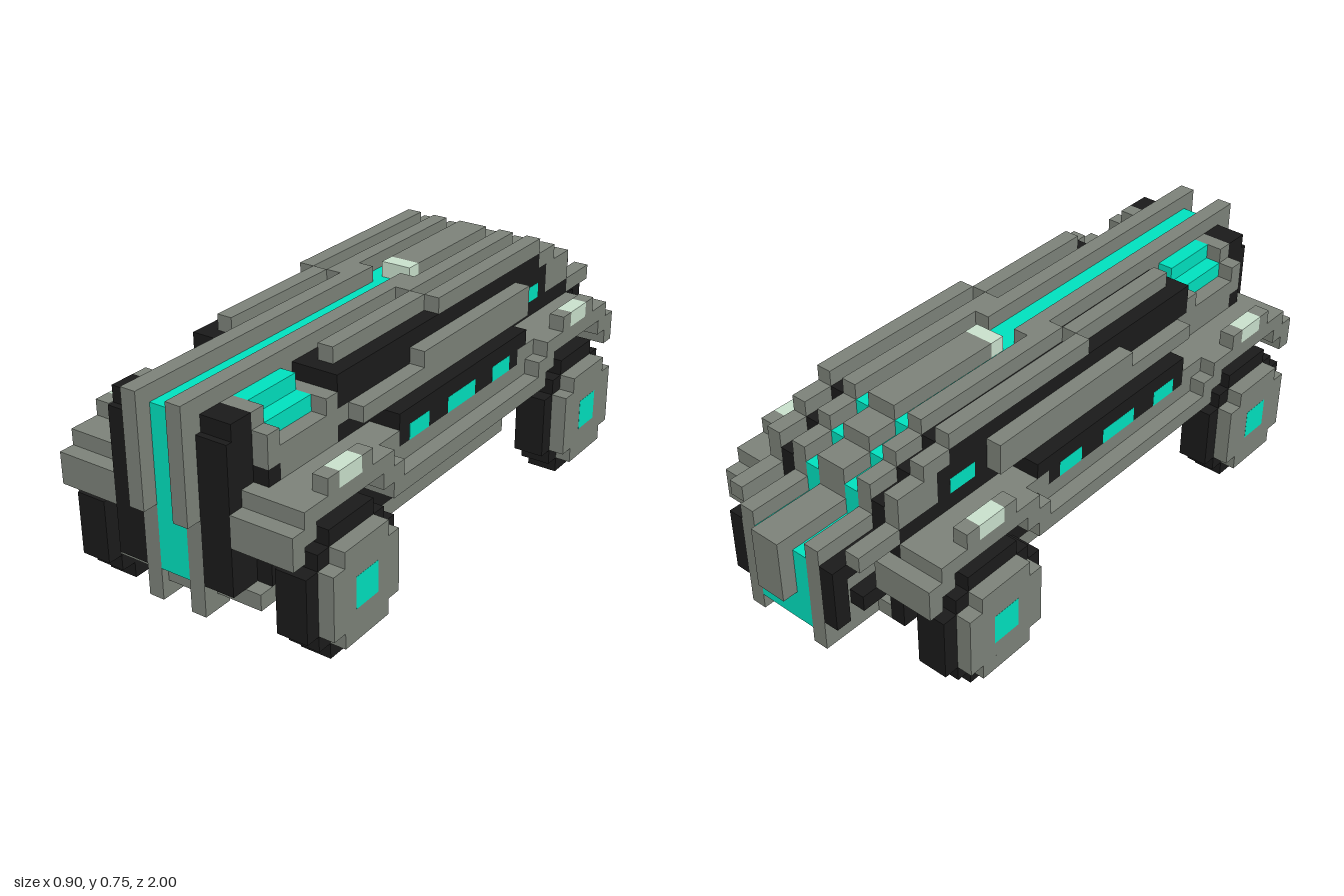
import * as THREE from 'three';
import { mergeGeometries } from 'three/addons/utils/BufferGeometryUtils.js';

const U = 0.05; // one block

export function createModel() {
  const model = new THREE.Group();
  model.name = 'armouredVehicle';
  const mat = (name, color) => {
    const m = new THREE.MeshStandardMaterial({ color });
    m.name = name;
    return m;
  };
  const gray = mat('armourGray', 0x7d837a);
  const dark = mat('bodyBlack', 0x1b1b1b);
  const teal = mat('glowTeal', 0x00e2c0);
  const pale = mat('lampPale', 0xcbe2ce);

  // Boxes are [x0, x1, y0, y1, z0, z1] in block units
  const box = ([x0, x1, y0, y1, z0, z1]) =>
    new THREE.BoxGeometry((x1 - x0) * U, (y1 - y0) * U, (z1 - z0) * U)
      .translate((x0 + x1) * U / 2, (y0 + y1) * U / 2, (z0 + z1) * U / 2);
  const part = (name, material, boxes) => {
    const mesh = new THREE.Mesh(mergeGeometries(boxes.map(box)), material);
    mesh.name = name;
    model.add(mesh);
  };
  const pair = (name, material, boxes) => {
    part(name + 'Left', material, boxes);
    part(name + 'Right', material, boxes.map(([a, b, ...r]) => [-b, -a, ...r]));
  };

  // Centre spine: glowing strip, roof ridge and lamp
  part('frontStrip', teal, [[-1, 1, 13, 14, -3, 18], [-1, 1, 4, 14, 18, 19]]);
  part('roofLamp', pale, [[-1, 1, 14, 15, -3, -2]]);
  part('roofRidge', gray, [
    [-1, 1, 13, 15, -11, -3], [-1, 1, 12, 14, -13, -11],
    [-1, 1, 11, 13, -15, -13], [-1, 1, 7, 11, -20, -15],
  ]);
  pair('frontRail', gray, [[1, 2, 13, 15, -1, 17], [1, 2, 2, 15, 17, 19], [1, 2, 8, 15, 19, 20]]);
  part('frontCrossbar', gray, [[-1, 1, 3, 4, 17, 18.5]]);
  pair('frontBumper', gray, [[2, 5, 3, 4, 17, 18]]);

  // Roof panels and stepped tail strips
  pair('roofCore', dark, [[2, 5, 13, 14, -11, 11]]);
  pair('roofBars', gray, [
    [2, 3, 14, 15, -11, 1], [4, 5, 14, 15, -11, 1], [3, 4, 14, 15, 1, 10],
    [2, 3, 12, 14, -13, -11], [4, 5, 13, 14, -13, -11], [4, 5, 11, 13, -13, -12],
    [2, 3, 11, 13, -15, -13], [4, 5, 11, 13, -15, -13],
    [2, 3, 4, 11, -19, -15], [4, 5, 10, 11, -18, -15],
  ]);
  pair('tailStrip', teal, [
    [1, 2, 13, 14, -11, -1], [1, 2, 12, 13, -13, -11],
    [1, 2, 10, 12, -15, -13], [1, 2, 9, 10, -18, -15], [1, 2, 5, 10, -19, -18],
  ]);
  part('tailGlow', teal, [[-1, 1, 5, 7, -19, -18]]);
  part('tailCrossbar', gray, [[-4, 4, 4, 5, -15, -14]]);
  pair('tailDarkStrip', dark, [
    [3, 4, 11, 13, -13, -11], [3, 4, 10, 12, -15, -13],
    [3, 4, 9, 10, -19, -15], [3, 4, 6, 9, -19, -18], [3, 4, 6, 7, -17, -15],
  ]);

  // Nose and windscreen corners
  pair('nose', dark, [[2, 4, 4, 13, 17, 19], [2, 4, 13, 14, 17, 18.6], [4, 5, 10, 11, 16, 17]]);
  pair('noseFrame', gray, [
    [2, 4, 10, 14, 16, 17], [4, 5, 11, 13, 16, 17],
    [2, 5, 10, 12, 12, 16], [2, 5, 10, 13, 11, 12],
  ]);
  pair('windscreen', teal, [[2, 3, 12, 14, 12, 16], [3, 4, 12, 13, 12, 16]]);

  // Hollow cabin: lower panels, arch walls, window band, shoulder and running beam
  pair('sideWall', dark, [
    [4, 5, 4, 7, -6, 8], [4, 5, 4, 11, 8, 11], [4, 5, 4, 10, 11, 17],
    [4, 5, 4, 11, -15, -6], [4, 5, 11, 13, -12, -8], [4, 5, 12, 13, -8, 11],
  ]);
  pair('windowBand', dark, [[6, 7, 9, 10, -5, 8], [5, 7, 10, 11, -6, 8]]);
  const windows = [[5, 7], [0, 3], [-4, -2]];
  pair('sideWindows', teal, windows.map(([a, b]) => [5.99, 7.01, 9, 10, a, b]));
  pair('rearWindow', teal, [[5, 5.01, 11, 12, -11, -9]]);
  pair('shoulder', gray, [[4, 5, 11, 12, -8, 11], [5, 6, 11, 12, -8, 10], [5, 6, 12, 13, -8, 4]]);
  pair('sideBeam', gray, [
    [5, 8, 7, 8, -6, 9], [6, 7, 8, 9, -6, 9],
    [5, 7, 9, 10, 8, 10], [5, 7, 9, 10, -7, -5],
  ]);
  pair('beamUnderglow', teal, [[6, 7, 6.98, 7, -2, 8]]);
  pair('sill', gray, [[4, 5, 3, 4, -7, 17]]);

  // Wheels and fenders, front then rear
  for (const [name, c, end] of [['front', 14, 1], ['rear', -11, -1]]) {
    const span = (a, b) => end > 0 ? [c + a, c + b] : [c - b, c - a];
    pair(name + 'Fender', gray, [
      [4.5, 8, 9, 10, ...span(-4, 4)],
      [5, 8, 8, 9, ...span(-5, -3)], [5, 8, 8, 9, ...span(3, 5)],
      [5, 8, 7, 8, ...span(-5, -4)], [5, 8, 7, 8, ...span(4, 5)],
      [7, 8, 10, 11, ...span(-2, -1)], [7, 8, 10, 11, ...span(1, 2)],
      [4, 8, 7, 9, ...(end > 0 ? [18, 19] : [-16, -15])],
    ]);
    // Short cheek closing the front fender against the nose
    if (end > 0) pair('fenderCheek', gray, [[4, 5, 7, 10, 17, 18]]);
    pair(name + 'FenderLamp', pale, [[7, 8, 10, 11, c - 1, c + 1]]);
    // Tyre: stepped ring, open on its inner side around the axle
    const tyre = [[6, 8, 0, 1, c - 2, c + 2], [6, 8, 7, 8, c - 2, c + 2]];
    for (const s of [-1, 1]) {
      for (const [y0, y1, a, b] of [[1, 2, 1, 3], [2, 6, 3, 4], [6, 7, 1, 3]])
        tyre.push([6, 8, y0, y1, c + Math.min(s * a, s * b), c + Math.max(s * a, s * b)]);
    }
    pair(name + 'Tyre', dark, tyre);
    pair(name + 'Axle', dark, [[5, 7, 3, 6, c - 1, c + 1]]);
    pair(name + 'Hub', gray, [[1, 2, 2], [2, 6, 3], [6, 7, 2]].map(([y0, y1, w]) => [8, 9, y0, y1, c - w, c + w]));
    pair(name + 'HubLight', teal, [[7.99, 9.01, 3, 5, c - 1, c + 1]]);
  }
  return model;
}
